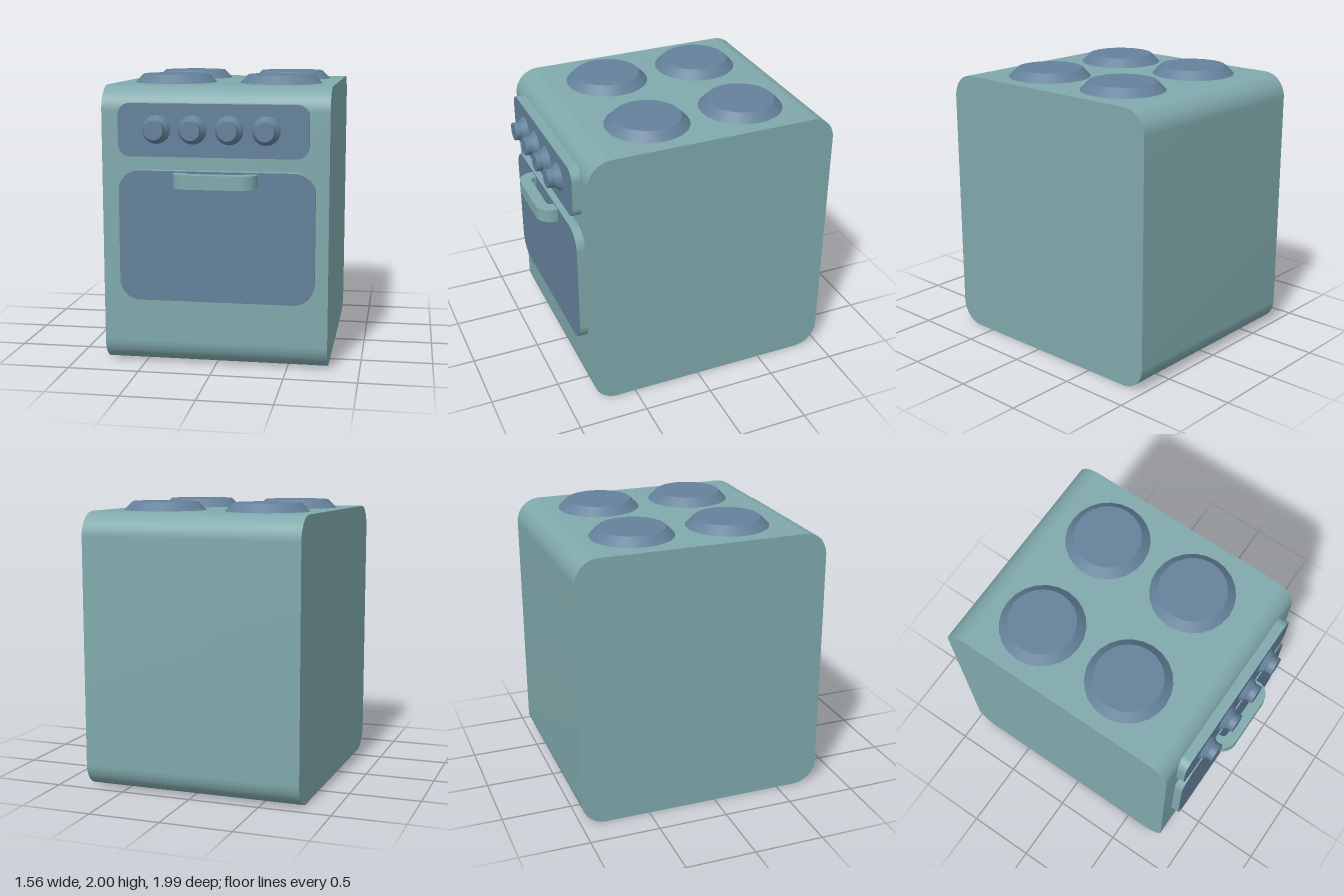
import * as THREE from 'three';
import { toCreasedNormals } from 'three/addons/utils/BufferGeometryUtils.js';

const teal = new THREE.MeshStandardMaterial({ color: 0x80a9ac });
teal.name = 'teal enamel';
const blue = new THREE.MeshStandardMaterial({ color: 0x64819a });
blue.name = 'slate blue';

// Rectangle with rounded corners between two opposite points
function roundedRect(x0, y0, x1, y1, r) {
  const s = new THREE.Shape();
  s.absarc(x1 - r, y0 + r, r, -Math.PI / 2, 0);
  s.absarc(x1 - r, y1 - r, r, 0, Math.PI / 2);
  s.absarc(x0 + r, y1 - r, r, Math.PI / 2, Math.PI);
  s.absarc(x0 + r, y0 + r, r, Math.PI, Math.PI * 1.5);
  s.closePath();
  return s;
}

function extrude(shape, depth) {
  const geo = new THREE.ExtrudeGeometry(shape, { depth, bevelEnabled: false, curveSegments: 10 });
  return toCreasedNormals(geo, 0.6);
}

function addMesh(parent, name, geometry, material, x = 0, y = 0, z = 0) {
  const mesh = new THREE.Mesh(geometry, material);
  mesh.name = name;
  mesh.position.set(x, y, z);
  parent.add(mesh);
  return mesh;
}

export function createModel() {
  const stove = new THREE.Group();
  stove.name = 'stove';

  // Body: rounded side profile extruded across the width
  const body = extrude(roundedRect(-0.99, 0, 0.81, 1.94, 0.17), 1.56);
  body.rotateY(-Math.PI / 2);
  addMesh(stove, 'body', body, teal, 0.78);

  // Front plates: blue faces with teal rims
  addMesh(stove, 'controlPanel', extrude(roundedRect(-0.65, 1.47, 0.645, 1.83, 0.08), 0.07), [blue, teal], 0, 0, 0.8);
  addMesh(stove, 'ovenDoor', extrude(roundedRect(-0.65, 0.475, 0.69, 1.375, 0.14), 0.07), [blue, teal], 0, 0, 0.8);

  // Handle: U-shaped bar standing off the door
  const u = new THREE.Shape();
  u.moveTo(-0.265, 0.86);
  u.lineTo(-0.185, 0.86);
  u.quadraticCurveTo(-0.185, 0.915, -0.145, 0.915);
  u.lineTo(0.185, 0.915);
  u.quadraticCurveTo(0.225, 0.915, 0.225, 0.86);
  u.lineTo(0.305, 0.86);
  u.lineTo(0.305, 0.89);
  u.absarc(0.2, 0.89, 0.105, 0, Math.PI / 2);
  u.lineTo(-0.16, 0.995);
  u.absarc(-0.16, 0.89, 0.105, Math.PI / 2, Math.PI);
  u.closePath();
  const handle = extrude(u, 0.095);
  handle.rotateX(Math.PI / 2);
  addMesh(stove, 'doorHandle', handle, teal, 0, 1.365, 0);

  // Burners: tapered discs on the hob
  const burner = new THREE.CylinderGeometry(0.235, 0.295, 0.06, 24);
  for (const x of [-0.38, 0.385])
    for (const z of [-0.465, 0.235]) addMesh(stove, 'burner', burner, blue, x, 1.97, z);

  // Knobs: flared skirt and straight grip, pointing forward
  const skirt = new THREE.CylinderGeometry(0.063, 0.098, 0.045, 20).rotateX(Math.PI / 2);
  const grip = new THREE.CylinderGeometry(0.065, 0.065, 0.045, 20).rotateX(Math.PI / 2);
  for (const x of [-0.385, -0.137, 0.112, 0.36]) {
    const knob = new THREE.Group();
    knob.name = 'knob';
    knob.position.set(x, 1.655, 0.87);
    addMesh(knob, 'knobSkirt', skirt, blue, 0, 0, 0.0225);
    addMesh(knob, 'knobGrip', grip, blue, 0, 0, 0.065);
    stove.add(knob);
  }
  return stove;
}
